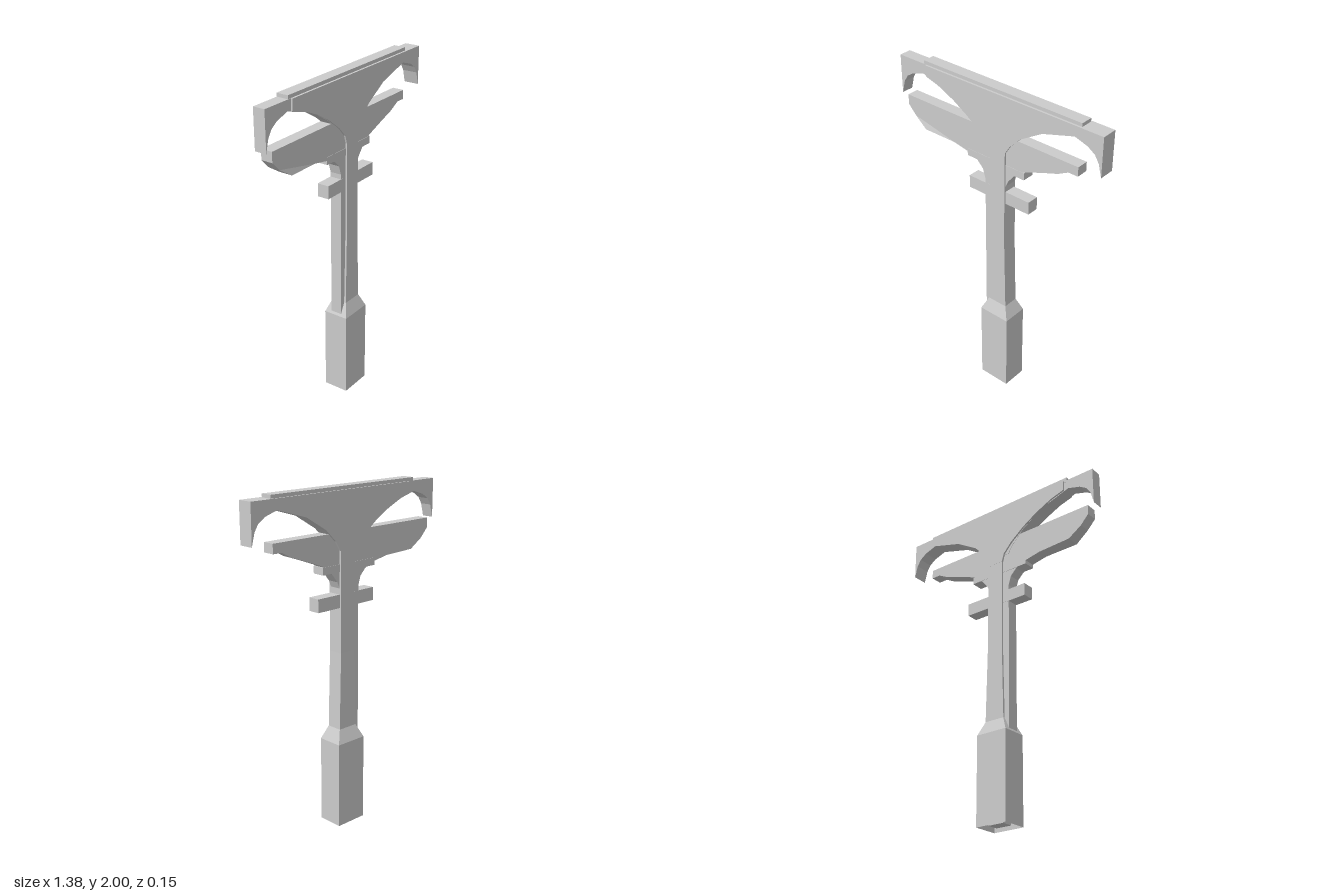
import * as THREE from 'three';

const grey = new THREE.MeshStandardMaterial({ color: 0xcccccc, flatShading: true, side: THREE.DoubleSide });

function add(group, name, geometry) {
  const mesh = new THREE.Mesh(geometry, grey);
  mesh.name = name;
  group.add(mesh);
  return mesh;
}

// Flat profile in x/y, extruded from z0 to z1
function slab(points, z0, z1) {
  const shape = new THREE.Shape(points.map(([x, y]) => new THREE.Vector2(x, y)));
  const g = new THREE.ExtrudeGeometry(shape, { depth: z1 - z0, bevelEnabled: false });
  return g.translate(0, 0, z0);
}

function box(x0, x1, y0, y1, z0, z1) {
  return new THREE.BoxGeometry(x1 - x0, y1 - y0, z1 - z0)
    .translate((x0 + x1) / 2, (y0 + y1) / 2, (z0 + z1) / 2);
}

// Open-ended rectangular shell through sections [y, x0, x1, halfDepth]
function shell(sections) {
  const pos = [], index = [];
  for (const [y, x0, x1, d] of sections) pos.push(x0, y, d, x1, y, d, x1, y, -d, x0, y, -d);
  for (let s = 0; s < sections.length - 1; s++) {
    for (let i = 0; i < 4; i++) {
      const a = s * 4 + i, b = s * 4 + (i + 1) % 4;
      index.push(a, b, b + 4, a, b + 4, a + 4);
    }
  }
  const g = new THREE.BufferGeometry();
  g.setAttribute('position', new THREE.Float32BufferAttribute(pos, 3));
  g.setIndex(index);
  const flat = g.toNonIndexed();
  flat.computeVertexNormals();
  return flat;
}

export function createModel() {
  const group = new THREE.Group();
  group.name = 'bracketPost';

  // Wide hollow foot tapering into the slender column
  add(group, 'footAndColumn', shell([
    [0, -0.08, 0.12, 0.077],
    [0.52, -0.08, 0.12, 0.077],
    [0.6, -0.042, 0.085, 0.047],
    [1.06, -0.03, 0.073, 0.046],
    [1.66, -0.03, 0.073, 0.046],
  ]));
  add(group, 'innerPost', box(-0.03, 0.07, 0.01, 0.55, -0.035, 0.035));

  // Thinner rib along the side of the column
  add(group, 'columnRib', box(-0.073, 0.06, 0.53, 1.68, -0.035, 0.035));

  // Deep arched panel reaching to the +x end
  add(group, 'archPanel', slab([
    [-0.49, 1.98], [-0.49, 1.915], [-0.4, 1.89], [-0.29, 1.84], [-0.19, 1.78],
    [-0.1, 1.71], [-0.045, 1.65], [-0.03, 1.6], [0.073, 1.6], [0.075, 1.65],
    [0.11, 1.705], [0.18, 1.775], [0.32, 1.86], [0.43, 1.893], [0.52, 1.92],
    [0.6, 1.895], [0.645, 1.865], [0.67, 1.825], [0.69, 1.75], [0.69, 1.98],
  ], -0.047, 0.045));

  // Shallower arched arm reaching to the -x end
  add(group, 'archArm', slab([
    [-0.69, 1.98], [-0.69, 1.75], [-0.67, 1.825], [-0.645, 1.865], [-0.6, 1.895],
    [-0.52, 1.92], [-0.43, 1.893], [-0.32, 1.86], [-0.18, 1.77], [-0.11, 1.7],
    [-0.073, 1.645], [0, 1.645], [0, 1.98],
  ], -0.037, 0.035));

  // Cap strip along the top
  add(group, 'capStrip', box(-0.51, 0.553, 1.97, 2, -0.038, 0.033));

  // Lower beam on curved brackets; its chamfered end flares forward slightly
  const beam = slab([
    [-0.647, 1.75], [-0.647, 1.69], [-0.595, 1.635], [-0.51, 1.58], [-0.3, 1.572],
    [-0.2, 1.553], [-0.13, 1.525], [-0.09, 1.485], [-0.073, 1.43], [0.07, 1.43],
    [0.09, 1.475], [0.13, 1.525], [0.2, 1.58], [0.32, 1.625], [0.42, 1.66],
    [0.485, 1.695], [0.545, 1.695], [0.545, 1.75],
  ], -0.035, 0.035);
  const p = beam.attributes.position;
  for (let i = 0; i < p.count; i++) {
    if (p.getX(i) < -0.45 && p.getY(i) < 1.6 && p.getZ(i) > 0) p.setZ(i, 0.045);
  }
  beam.computeVertexNormals();
  add(group, 'lowerBeam', beam);

  // Short bars through the column
  add(group, 'smallCrossbar', box(-0.2, 0.2, 1.53, 1.573, -0.037, 0.037));
  add(group, 'crossbar', box(-0.19, 0.235, 1.325, 1.402, -0.036, 0.036));

  return group;
}
